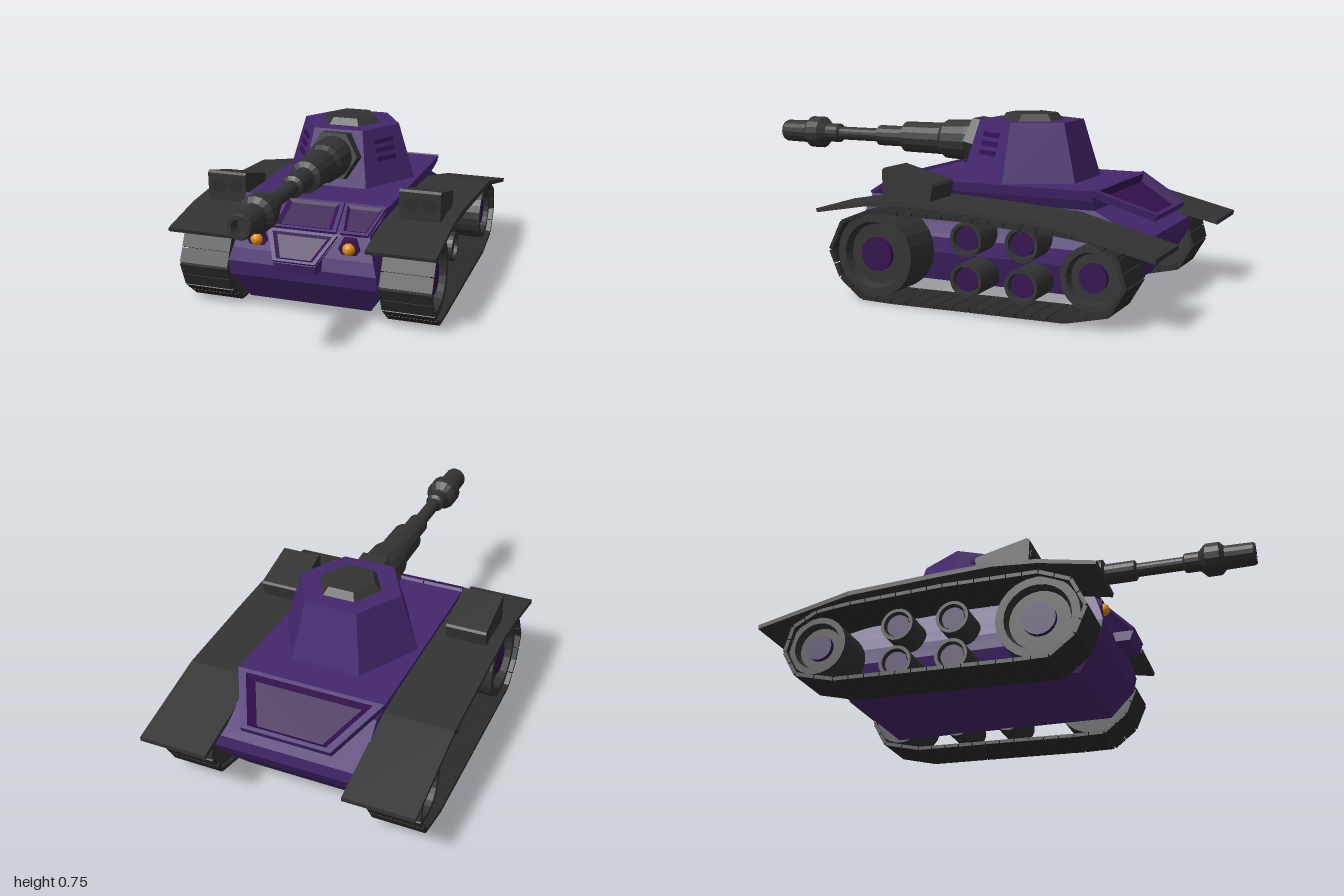
import * as THREE from 'three';

const mat = (name, color) => {
  const m = new THREE.MeshStandardMaterial({ color, flatShading: true });
  m.name = name;
  return m;
};

export function createModel() {
  const purple = mat('purple armour', 0x44276e);
  const deep = mat('deep purple', 0x34104f);
  const grey = mat('charcoal', 0x333333);
  const dark = mat('dark track', 0x2b2b2b);
  const amber = mat('amber', 0xe08c0c);
  const root = new THREE.Group();
  root.name = 'tank';

  const add = (name, geo, material, x = 0, y = 0, z = 0) => {
    const m = new THREE.Mesh(geo, material);
    m.name = name;
    m.position.set(x, y, z);
    root.add(m);
    return m;
  };

  // Flat-faced skin over four-cornered rings of Vector3
  const loft = (rings, capStart = true, capEnd = true) => {
    const pos = [];
    const quad = (a, b, c, d) => [a, b, c, a, c, d].forEach(p => pos.push(p.x, p.y, p.z));
    for (let k = 0; k + 1 < rings.length; k++) {
      const a = rings[k], b = rings[k + 1];
      for (let i = 0; i < 4; i++) quad(a[i], a[(i + 1) % 4], b[(i + 1) % 4], b[i]);
    }
    if (capStart) quad(...[...rings[0]].reverse());
    if (capEnd) quad(...rings[rings.length - 1]);
    const g = new THREE.BufferGeometry();
    g.setAttribute('position', new THREE.Float32BufferAttribute(pos, 3));
    g.computeVertexNormals();
    return g;
  };
  const V = (x, y, z) => new THREE.Vector3(x, y, z);
  const level = ([y, w, front, back]) => [V(w, y, front), V(w, y, back), V(-w, y, back), V(-w, y, front)];

  // Raised armour frame around a sunken deep purple panel
  const framed = (name, corners, h, inset) => {
    const c = corners.reduce((s, p) => s.add(p), V(0, 0, 0)).divideScalar(4);
    const n = corners[1].clone().sub(corners[0]).cross(corners[2].clone().sub(corners[0])).normalize();
    const ring = (t, lift) => corners.map(p => p.clone().lerp(c, t).addScaledVector(n, lift));
    const top = ring(inset, h);
    add(name + 'Frame', loft([ring(0, 0), ring(0, h), top], true, false), purple);
    add(name + 'Panel', loft([top, ring(inset + 0.14, 0.004)], false, true), deep);
  };

  // Side profile given as [z, y], extruded across x
  const sideExtrude = (points, width) => {
    const shape = new THREE.Shape(points.map(p => new THREE.Vector2(...p)));
    const g = new THREE.ExtrudeGeometry(shape, { depth: width, bevelEnabled: false });
    return g.translate(0, 0, -width / 2).rotateY(-Math.PI / 2);
  };

  // Hull and nose
  add('hull', loft([
    [0.05, 0.27, 0.29, -0.72], [0.18, 0.322, 0.385, -0.83], [0.245, 0.322, 0.4, -0.87],
    [0.3, 0.305, 0.385, -0.87], [0.4, 0.28, 0.35, -0.66], [0.44, 0.302, 0.28, -0.66],
    [0.48, 0.313, 0.21, -0.66],
  ].map(level)), purple);
  add('nose', loft([
    [0.248, 0.09, 0.46, 0.3], [0.29, 0.09, 0.475, 0.3], [0.395, 0.16, 0.355, 0.3],
  ].map(level)), purple);

  // Front and rear framed panels
  framed('upperFront', [V(0.14, 0.395, 0.358), V(0.13, 0.478, 0.214), V(-0.13, 0.478, 0.214), V(-0.14, 0.395, 0.358)], 0.014, 0.12);
  framed('lowerFront', [V(0.09, 0.292, 0.473), V(0.15, 0.388, 0.363), V(-0.15, 0.388, 0.363), V(-0.09, 0.292, 0.473)], 0.012, 0.14);
  framed('leftFront', [V(0.275, 0.395, 0.358), V(0.313, 0.478, 0.214), V(0.135, 0.478, 0.214), V(0.16, 0.395, 0.358)], 0.014, 0.15);
  framed('rightFront', [V(-0.16, 0.395, 0.358), V(-0.135, 0.478, 0.214), V(-0.313, 0.478, 0.214), V(-0.275, 0.395, 0.358)], 0.014, 0.15);
  framed('rear', [V(0.313, 0.46, -0.65), V(0.19, 0.36, -0.875), V(-0.19, 0.36, -0.875), V(-0.313, 0.46, -0.65)], 0.028, 0.13);

  // Turret and hatch
  const hex = (top, bottom, h) => new THREE.CylinderGeometry(top, bottom, h, 6).rotateY(Math.PI / 6);
  add('turret', hex(0.22, 0.295, 0.24), purple, 0, 0.6, -0.27);
  add('hatch', hex(0.108, 0.135, 0.03), grey, 0, 0.734, -0.27);

  // Gun mantlet and barrel
  const mantlet = new THREE.CylinderGeometry(0.112, 0.122, 0.13, 6).rotateY(Math.PI / 6).rotateX(Math.PI / 2 - 0.2);
  add('mantlet', mantlet, grey, 0, 0.61, -0.06);
  const barrel = [
    [0, -0.1], [0.09, -0.1], [0.09, 0.02], [0.085, 0.13], [0.07, 0.15], [0.068, 0.34], [0.046, 0.35],
    [0.046, 0.48], [0.03, 0.49], [0.03, 0.69], [0.043, 0.7], [0.043, 0.76], [0.072, 0.79],
    [0.072, 0.85], [0.052, 0.87], [0.05, 0.99], [0.045, 1], [0.03, 1], [0.03, 0.94], [0, 0.94],
  ].map(p => new THREE.Vector2(...p));
  add('barrel', new THREE.LatheGeometry(barrel, 16).rotateX(Math.PI / 2), grey, 0, 0.617, 0);

  // Running gear wheel: [z, y, radius, hub radius, inner x, outer x]
  const wheels = [
    [0.19, 0.19, 0.172, 0.07, 0.34, 0.53], [-0.745, 0.19, 0.125, 0.056, 0.34, 0.53],
    ...[-0.19, -0.43].flatMap(z => [0.275, 0.11].map(y => [z, y, 0.07, 0.048, 0.26, 0.46])),
  ];
  // Track loop as [z, y]
  const loop = [
    [0.2, 0.372], [0.33, 0.32], [0.388, 0.2], [0.34, 0.09], [0.24, 0.012], [0.1, 0.01], [-0.25, 0.017],
    [-0.65, 0.024], [-0.82, 0.065], [-0.88, 0.17], [-0.85, 0.28], [-0.75, 0.335], [-0.6, 0.352], [-0.2, 0.372],
  ];
  const fender = [
    [0.44, 0.37], [0.2, 0.415], [0.02, 0.43], [-0.2, 0.42], [-0.6, 0.395], [-1, 0.298],
    [-1, 0.28], [-0.6, 0.375], [-0.2, 0.4], [0.02, 0.41], [0.2, 0.397], [0.435, 0.354],
  ];

  for (const s of [1, -1]) {
    const side = s > 0 ? 'left' : 'right';
    for (const [z, y, r, hub, x0, x1] of wheels) {
      const floor = x1 - 0.035;
      const profile = [[0, x0], [r, x0], [r, x1], [r * 0.8, x1], [r * 0.73, floor], [0, floor]]
        .map(p => new THREE.Vector2(...p));
      add(side + 'Wheel', new THREE.LatheGeometry(profile, 24).rotateZ(-s * Math.PI / 2), grey, 0, y, z);
      add(side + 'Hub', new THREE.CylinderGeometry(hub, hub, 0.02, 20).rotateZ(Math.PI / 2), deep, s * (floor + 0.01), y, z);
    }

    // Separate links laid along each straight run
    loop.forEach(([z0, y0], i) => {
      const [z1, y1] = loop[(i + 1) % loop.length];
      const len = Math.hypot(z1 - z0, y1 - y0);
      const count = Math.max(1, Math.round(len / 0.07));
      for (let k = 0; k < count; k++) {
        const t = (k + 0.5) / count;
        const link = add(side + 'TrackLink', new THREE.BoxGeometry(0.22, 0.016, len / count - 0.004), dark,
          s * 0.442, y0 + (y1 - y0) * t, z0 + (z1 - z0) * t);
        link.rotation.x = -Math.atan2(y1 - y0, z1 - z0);
      }
    });

    // Fender with its twin-tube pod
    add(side + 'Fender', sideExtrude(fender, 0.29), grey, s * 0.43);
    add(side + 'Pod', sideExtrude([[0.15, 0.41], [0.155, 0.54], [0.145, 0.549], [-0.068, 0.495], [-0.075, 0.485], [-0.06, 0.41]], 0.176), grey, s * 0.432);
    for (const dx of [-0.04, 0.04]) {
      add(side + 'PodTube', new THREE.CylinderGeometry(0.03, 0.03, 0.008, 20).rotateX(Math.PI / 2), dark, s * 0.432 + dx, 0.487, 0.153);
    }

    // Headlight in a six-sided housing
    add(side + 'LampHousing', new THREE.CylinderGeometry(0.045, 0.055, 0.03, 6).rotateY(Math.PI / 6).rotateX(Math.PI / 2), deep, s * 0.2, 0.343, 0.363);
    add(side + 'Headlight', new THREE.SphereGeometry(0.027, 14, 10), amber, s * 0.2, 0.345, 0.376);

    // Turret vents on the slanted front cheek
    for (const y of [0.59, 0.627, 0.664]) {
      const apothem = (0.295 - (y - 0.48) * 0.3125) * Math.cos(Math.PI / 6);
      const a = s * Math.PI / 3;
      const vent = add(side + 'Vent', new THREE.BoxGeometry(0.11, 0.02, 0.009), deep,
        Math.sin(a) * apothem, y, -0.27 + Math.cos(a) * apothem);
      vent.rotation.set(-0.265, a, 0, 'YXZ');
    }
  }
  return root;
}
